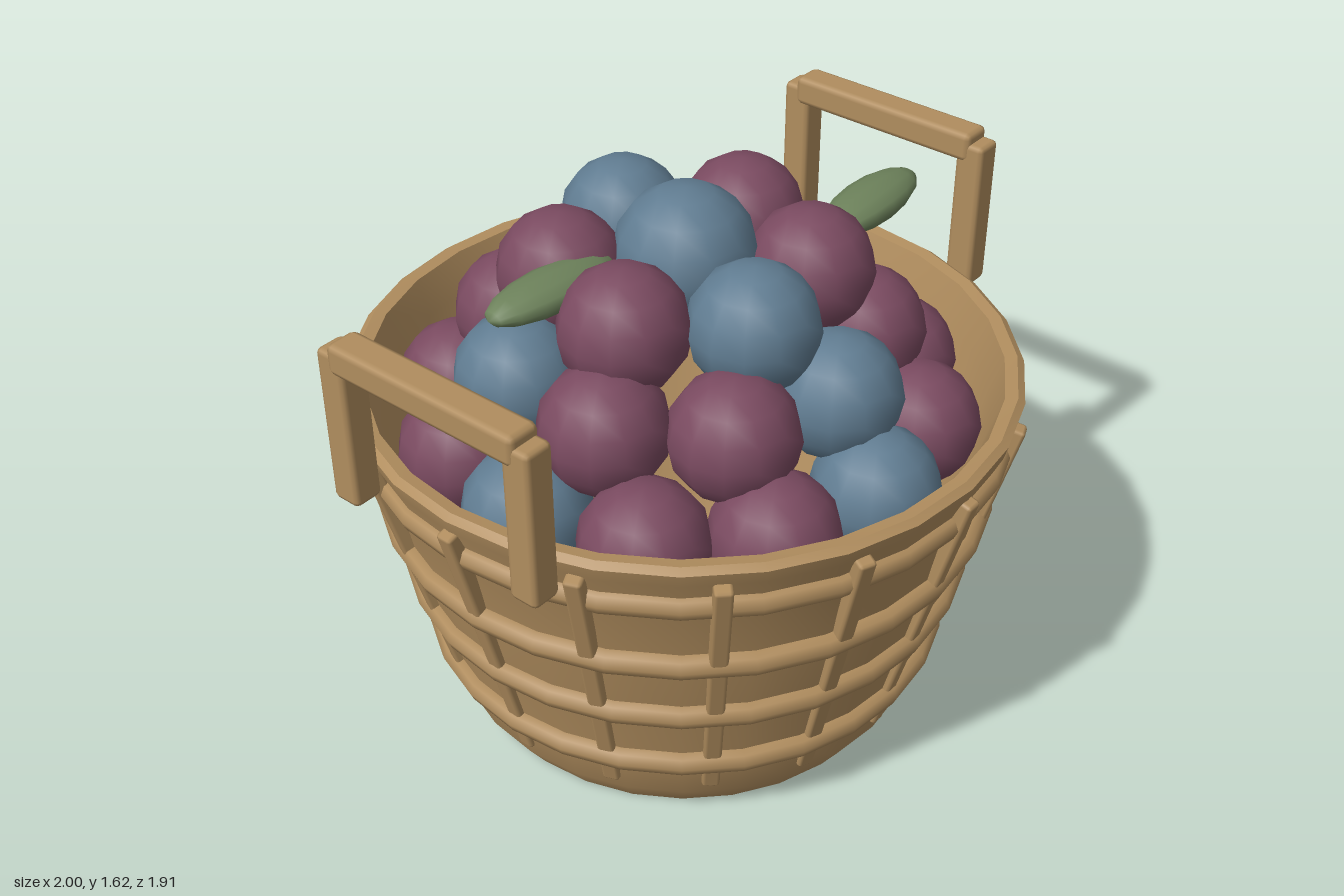
import * as THREE from 'three';
import { toCreasedNormals } from 'three/addons/utils/BufferGeometryUtils.js';
import { RoundedBoxGeometry } from 'three/addons/geometries/RoundedBoxGeometry.js';

const material = (name, color) => Object.assign(new THREE.MeshStandardMaterial({ color }), { name });

export function createModel() {
  const wicker = material('wicker tan', 0xb08d5e);
  const plum = material('plum purple', 0x7a4a60);
  const blue = material('berry blue', 0x607c91);
  const leafGreen = material('leaf green', 0x6d825b);

  const model = new THREE.Group();
  model.name = 'fruitBasket';

  const add = (parent, name, geometry, mat, x = 0, y = 0, z = 0) => {
    const mesh = new THREE.Mesh(geometry, mat);
    mesh.name = name;
    mesh.position.set(x, y, z);
    parent.add(mesh);
    return mesh;
  };
  const addGroup = (name) => {
    const group = new THREE.Group();
    group.name = name;
    model.add(group);
    return group;
  };

  // Hollow basket: underside, outer wall, rim, inner wall, floor
  const profile = [
    [0, 0], [0.64, 0], [0.70, 0.09], [0.72, 0.2], [0.79, 0.48], [0.845, 0.71], [0.89, 0.95],
    [0.93, 1.04], [0.94, 1.08], [0.92, 1.095], [0.885, 1.09], [0.85, 0.98], [0.66, 0.2], [0.6, 0.06], [0, 0.06],
  ].map(([r, y]) => new THREE.Vector2(r, y));
  add(model, 'basketBody', toCreasedNormals(new THREE.LatheGeometry(profile, 28), 0.6), wicker);

  // Horizontal hoops around the wall
  const hoops = addGroup('hoops');
  for (const [y, r] of [[0.25, 0.735], [0.48, 0.79], [0.71, 0.847], [0.95, 0.89]]) {
    const hoop = add(hoops, 'hoop', new THREE.TorusGeometry(r, 0.039, 8, 28), wicker, 0, y, 0);
    hoop.rotation.x = Math.PI / 2;
  }

  // Leaning upright slats
  const slats = addGroup('slats');
  const slatGeometry = new RoundedBoxGeometry(0.05, 0.94, 0.045, 1, 0.01);
  for (let i = 0; i < 16; i++) {
    const spoke = new THREE.Group();
    spoke.name = 'slatSpoke';
    spoke.rotation.y = (i / 16) * Math.PI * 2;
    add(spoke, 'slat', slatGeometry, wicker, 0, 0.585, 0.815).rotation.x = 0.258;
    slats.add(spoke);
  }

  // Square handles on both sides
  const postGeometry = new RoundedBoxGeometry(0.088, 0.46, 0.088, 1, 0.015);
  const barGeometry = new RoundedBoxGeometry(0.098, 0.088, 0.62, 1, 0.018);
  for (const side of [-1, 1]) {
    const handle = addGroup(side > 0 ? 'leftHandle' : 'rightHandle');
    for (const z of [-0.31, 0.31]) add(handle, 'handlePost', postGeometry, wicker, side * 0.95, 1.245, z);
    add(handle, 'handleBar', barGeometry, wicker, side * 0.95, 1.462, 0);
  }

  // Rings of fruit: every third one is blue
  const fruit = addGroup('fruitPile');
  const ball = new THREE.SphereGeometry(1, 12, 8);
  const rings = [
    { count: 12, radius: 0.65, y: 0.94, start: 0, blueAt: 0 },
    { count: 9, radius: 0.49, y: 1.16, start: 6, blueAt: 2 },
    { count: 6, radius: 0.335, y: 1.37, start: -11, blueAt: 2 },
  ];
  for (const { count, radius, y, start, blueAt } of rings) {
    for (let i = 0; i < count; i++) {
      const a = THREE.MathUtils.degToRad(start + (i * 360) / count);
      const mat = i % 3 === blueAt ? blue : plum;
      add(fruit, 'fruit', ball, mat, radius * Math.cos(a), y, radius * Math.sin(a)).scale.setScalar(0.18);
    }
  }
  add(fruit, 'topFruit', ball, blue, 0, 1.42, 0).scale.setScalar(0.2);

  // Two flattened leaves
  const leaves = addGroup('leaves');
  const leafGeometry = new THREE.SphereGeometry(1, 12, 8).rotateZ(Math.PI / 2);
  for (const [x, z, turn] of [[0.51, 0.24, 0.05], [-0.39, -0.13, -0.08]]) {
    const leaf = add(leaves, 'leaf', leafGeometry, leafGreen, x, 1.44, z);
    leaf.scale.set(0.215, 0.05, 0.085);
    leaf.rotation.y = turn;
  }

  return model;
}
